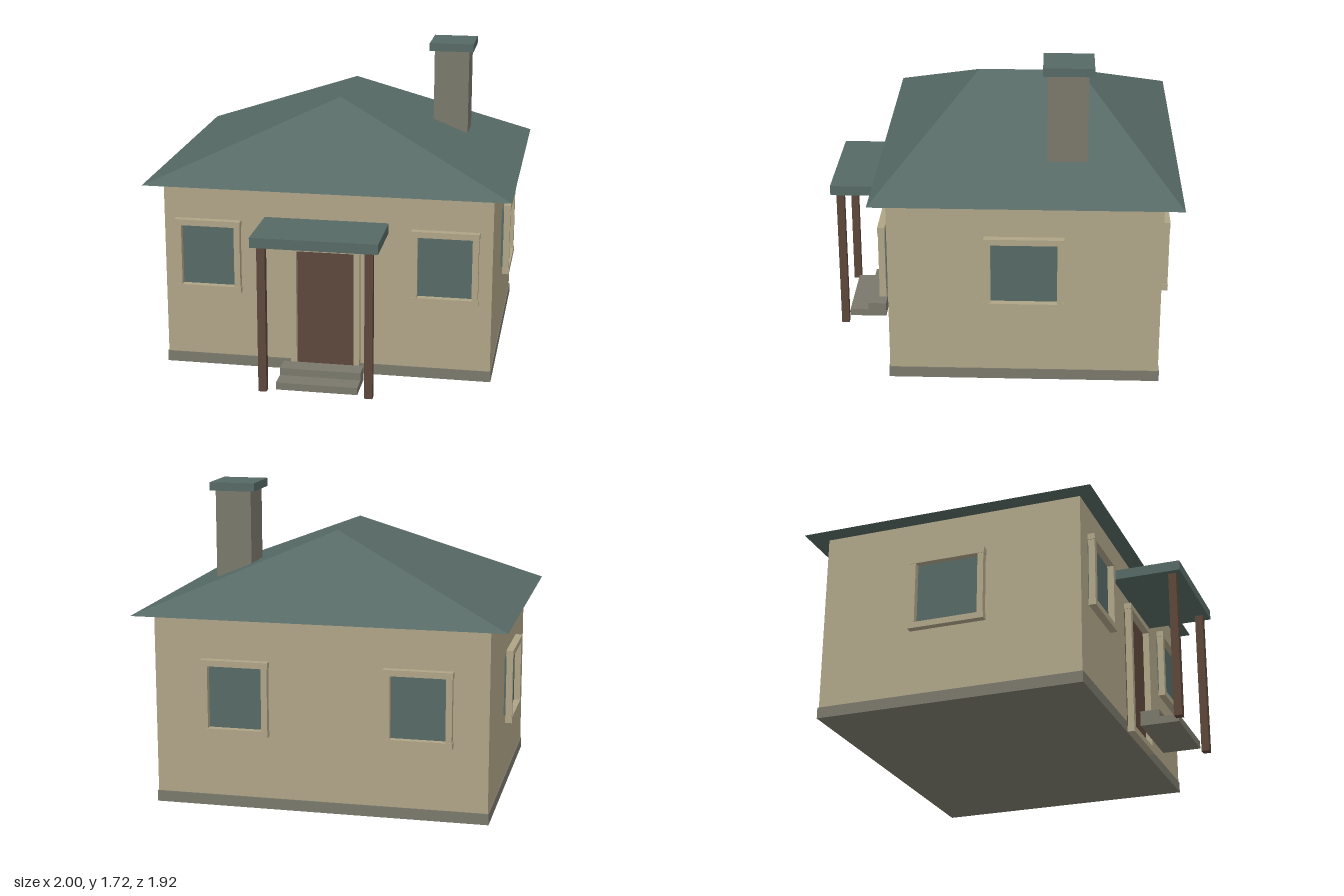
import * as THREE from 'three';
import { ConvexGeometry } from 'three/addons/geometries/ConvexGeometry.js';

function makeMaterial(name, color) {
  const m = new THREE.MeshStandardMaterial({ color });
  m.name = name;
  return m;
}

export function createModel() {
  const model = new THREE.Group();
  model.name = 'cottage';

  const plaster = makeMaterial('plaster', 0xaea487);
  const slate = makeMaterial('slate', 0x566965);
  const stone = makeMaterial('stone', 0x7a786b);
  const wood = makeMaterial('wood', 0x5c463a);

  // Box given by its extents on each axis
  function box(parent, name, material, [x0, x1], [y0, y1], [z0, z1]) {
    const mesh = new THREE.Mesh(new THREE.BoxGeometry(x1 - x0, y1 - y0, z1 - z0), material);
    mesh.position.set((x0 + x1) / 2, (y0 + y1) / 2, (z0 + z1) / 2);
    mesh.name = name;
    parent.add(mesh);
    return mesh;
  }

  // Panel with a four-bar frame standing just off the wall; local +z points outward
  function framedOpening(name, panelName, panelMaterial, w, h, x, y, z, turn) {
    const g = new THREE.Group();
    g.name = name;
    const bar = 0.033, W = w / 2, H = h / 2, depth = [0.018, 0.053];
    box(g, panelName, panelMaterial, [-W + bar, W - bar], [-H + bar, H - bar], [0.004, 0.018]);
    for (const s of [-1, 1]) {
      const side = [s * W, s * (W - bar)].sort((a, b) => a - b);
      const rail = [s * H, s * (H - bar)].sort((a, b) => a - b);
      box(g, 'frameSide', plaster, side, [-H + bar, H - bar], depth);
      box(g, 'frameRail', plaster, [-W - 0.003, W + 0.003], rail, [0.016, 0.055]);
    }
    g.position.set(x, y, z);
    g.rotation.y = turn;
    model.add(g);
  }

  // Walls and plinth
  box(model, 'walls', plaster, [-0.902, 0.902], [0.07, 1.06], [-0.86, 0.587]);
  box(model, 'plinth', stone, [-0.907, 0.907], [0.01, 0.07], [-0.866, 0.592]);

  // Hipped roof with a ridge running front to back
  const eave = 1.055, ridge = 1.467;
  const roof = new THREE.Mesh(new ConvexGeometry([
    new THREE.Vector3(-1, eave, 0.675), new THREE.Vector3(1, eave, 0.675),
    new THREE.Vector3(1, eave, -0.96), new THREE.Vector3(-1, eave, -0.96),
    new THREE.Vector3(0, ridge, 0.14), new THREE.Vector3(0, ridge, -0.423),
  ]), slate);
  roof.name = 'roof';
  model.add(roof);

  // Chimney
  box(model, 'chimney', stone, [0.477, 0.675], [1.185, 1.67], [-0.462, -0.247]);
  box(model, 'chimneyCap', slate, [0.45, 0.7], [1.67, 1.715], [-0.49, -0.223]);

  // Windows: two in front, two at the back, one on each side
  for (const x of [-0.65, 0.65]) {
    framedOpening('frontWindow', 'glass', slate, 0.36, 0.406, x, 0.66, 0.587, 0);
  }
  for (const x of [-0.535, 0.45]) {
    framedOpening('backWindow', 'glass', slate, 0.36, 0.406, x, 0.623, -0.86, Math.PI);
  }
  framedOpening('leftWindow', 'glass', slate, 0.416, 0.406, 0, 0.66, 0, Math.PI / 2);
  model.children.at(-1).position.set(0.902, 0.66, -0.135);
  framedOpening('rightWindow', 'glass', slate, 0.416, 0.406, -0.902, 0.623, -0.135, -Math.PI / 2);

  // Door
  framedOpening('door', 'doorPanel', wood, 0.382, 0.75, 0, 0.375, 0.587, 0);

  // Porch canopy, posts and steps
  box(model, 'porchRoof', slate, [-0.34, 0.34], [0.83, 0.885], [0.585, 0.96]);
  for (const s of [-1, 1]) {
    const c = s * 0.287;
    box(model, 'porchPost', wood, [c - 0.022, c + 0.022], [0.012, 0.83], [0.888, 0.931]);
  }
  box(model, 'lowerStep', stone, [-0.222, 0.222], [0.012, 0.052], [0.683, 0.892]);
  box(model, 'upperStep', stone, [-0.222, 0.222], [0.052, 0.093], [0.683, 0.787]);

  return model;
}
